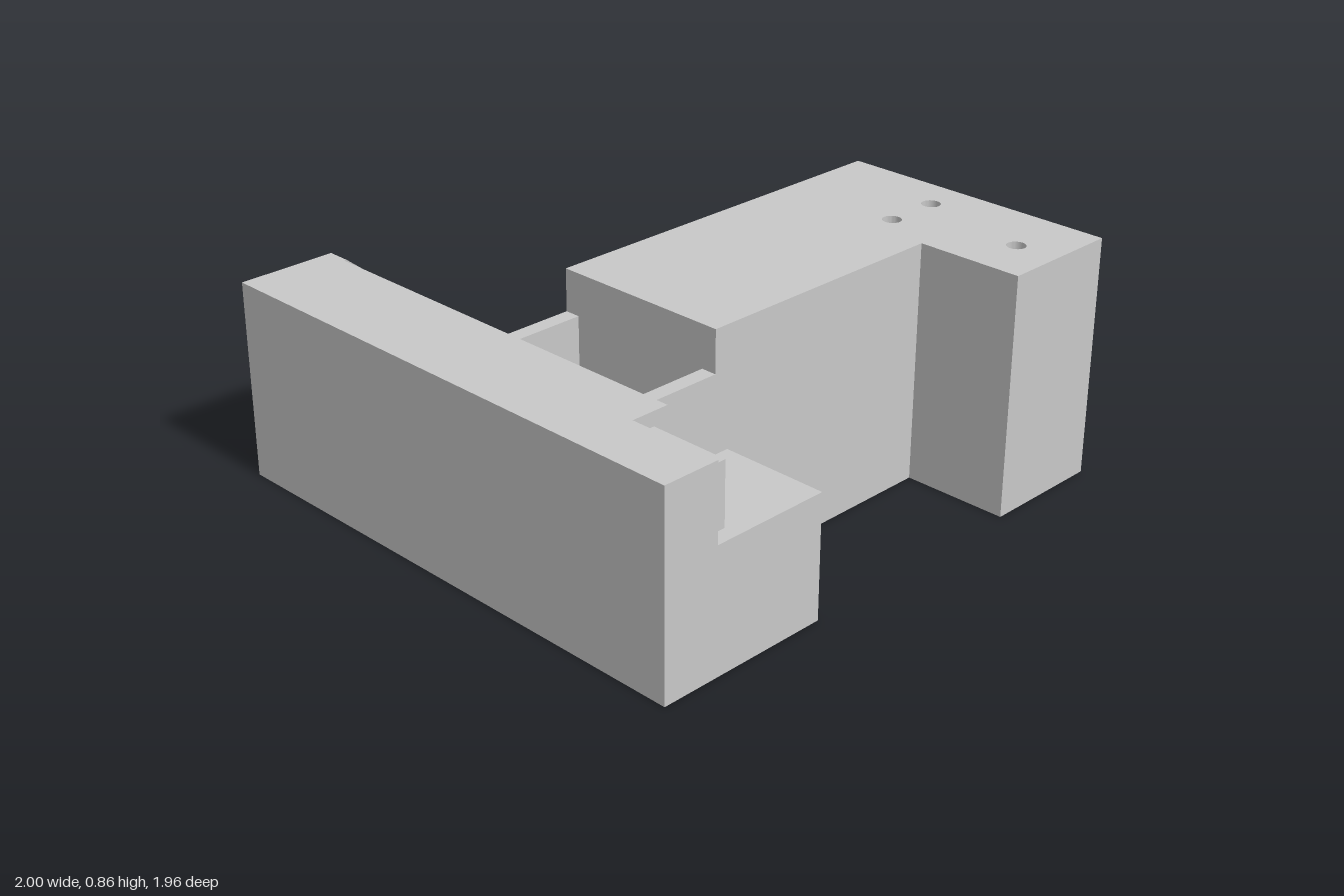
import * as THREE from 'three';
import { toCreasedNormals } from 'three/addons/utils/BufferGeometryUtils.js';

const polygon = (pts, C = THREE.Shape) => new C(pts.map(([a, b]) => new THREE.Vector2(a, b)));
const circle = (a, b, r) => new THREE.Path().absarc(a, b, r, 0, Math.PI * 2, false);

// Plan outlines are written in (x, z) and become (x, -z) for the extrusion;
// reversing keeps them counter-clockwise
const plan = (pts, C) => polygon(pts.map(([x, z]) => [x, -z]).reverse(), C);
const rect = (x0, x1, z0, z1) => [[x0, z0], [x1, z0], [x1, z1], [x0, z1]];
const rectHole = (...r) => plan(rect(...r), THREE.Path);
const roundHole = (x, z, r) => circle(x, -z, r);

export function createModel() {
  const model = new THREE.Group();
  const grey = new THREE.MeshStandardMaterial({ color: 0xc8c8c8 });
  grey.name = 'plainGrey';

  const extrude = (shape, holes, depth) => {
    shape.holes = holes;
    return new THREE.ExtrudeGeometry(shape, { depth, bevelEnabled: false, curveSegments: 16 });
  };
  const add = (name, geometry) => {
    const mesh = new THREE.Mesh(toCreasedNormals(geometry, 0.6), grey);
    mesh.name = name;
    model.add(mesh);
  };
  // Horizontal slab between two heights
  const slab = (name, outline, y0, y1, holes = []) =>
    add(name, extrude(plan(outline), holes, y1 - y0).rotateX(-Math.PI / 2).translate(0, y0, 0));
  // Upright plate between two z positions
  const plate = (name, outline, z0, z1, holes = []) =>
    add(name, extrude(polygon(outline), holes, z1 - z0).translate(0, 0, z0));

  // Pockets in the underside of the side bar
  const tallPockets = () => [rectHole(-0.95, -0.72, -0.92, -0.06), rectHole(-0.95, -0.72, 0, 0.54)];
  const lowPockets = () => [rectHole(-0.66, -0.41, -0.92, -0.06), rectHole(-0.66, -0.41, 0, 0.54)];
  // Front pocket is split in two by a round boss
  const boss = { x: -0.68, z: 0.765, r: 0.21 };
  const bossPocket = (side) => {
    const edge = side < 0 ? -0.95 : -0.41;
    const pts = [[edge, boss.z + 0.165], [edge, boss.z - 0.165]];
    const limit = Math.asin(0.165 / boss.r);
    for (let i = 0; i <= 12; i++) {
      const t = -limit + (2 * limit * i) / 12;
      pts.push([boss.x + side * boss.r * Math.cos(t), boss.z + boss.r * Math.sin(t)]);
    }
    return plan(side < 0 ? pts : pts.reverse(), THREE.Path);
  };

  // Side bar: wide base, then the taller wall with its notched front
  const base = rect(-1, -0.35, -0.94, 0.98);
  slab('barBase', base, 0, 0.39, [
    ...tallPockets(), ...lowPockets(), bossPocket(-1), bossPocket(1), roundHole(boss.x, boss.z, 0.045),
  ]);
  slab('barLedge', base, 0.39, 0.44, tallPockets());
  const wall = [[-1, -0.94], [-0.65, -0.94], [-0.65, 0.64], [-0.79, 0.64], [-0.79, 0.98], [-1, 0.98]];
  slab('barWall', wall, 0.44, 0.66, tallPockets());
  slab('barTop', wall, 0.66, 0.71);
  slab('notchBlock', rect(-0.79, -0.705, 0.64, 0.925), 0.44, 0.66);

  // Rear end plate with five holes, and the sloped gusset behind it
  const endHoles = [[-0.82, 0.54], [-0.82, 0.32], [-0.82, 0.08], [-0.53, 0.28], [-0.53, 0.08]];
  plate('endPlate', [[-1, 0], [-0.35, 0], [-0.35, 0.475], [-0.64, 0.71], [-1, 0.71]], -0.98, -0.94,
    endHoles.map(([x, y]) => circle(x, y, 0.033)));
  plate('endGusset', [[-0.65, 0.44], [-0.35, 0.44], [-0.35, 0.475], [-0.64, 0.71], [-0.65, 0.71]], -0.94, -0.895);

  // Thin walls around the open pocket between bar and main block
  for (const [z0, z1] of [[-0.06, -0.005], [0.54, 0.595]]) {
    slab('pocketWall', rect(-0.65, -0.405, z0, z1), 0.44, 0.71);
  }

  // Main L-shaped block with blind round recesses and three screw holes
  const block = (x) => [[x, -0.06], [1, -0.06], [1, 0.98], [0.55, 0.98], [0.55, 0.595], [x, 0.595]];
  const screws = (r) => [[0.645, 0.392], [0.85, 0.392], [0.752, 0.822]].map(([x, z]) => roundHole(x, z, r));
  const recesses = [[0.79, 0.085], [0.785, 0.63], [0.33, 0.085], [0.33, 0.435], [-0.12, 0.085], [-0.12, 0.435]]
    .map(([x, z]) => roundHole(x, z, 0.09));
  slab('blockBase', block(-0.35), 0, 0.2, [...screws(0.075), ...recesses]);
  slab('blockLower', block(-0.35), 0.2, 0.44, screws(0.075));
  slab('blockUpper', block(-0.405), 0.44, 0.7, screws(0.075));
  slab('blockTop', block(-0.405), 0.7, 0.857, screws(0.033));

  return model;
}
